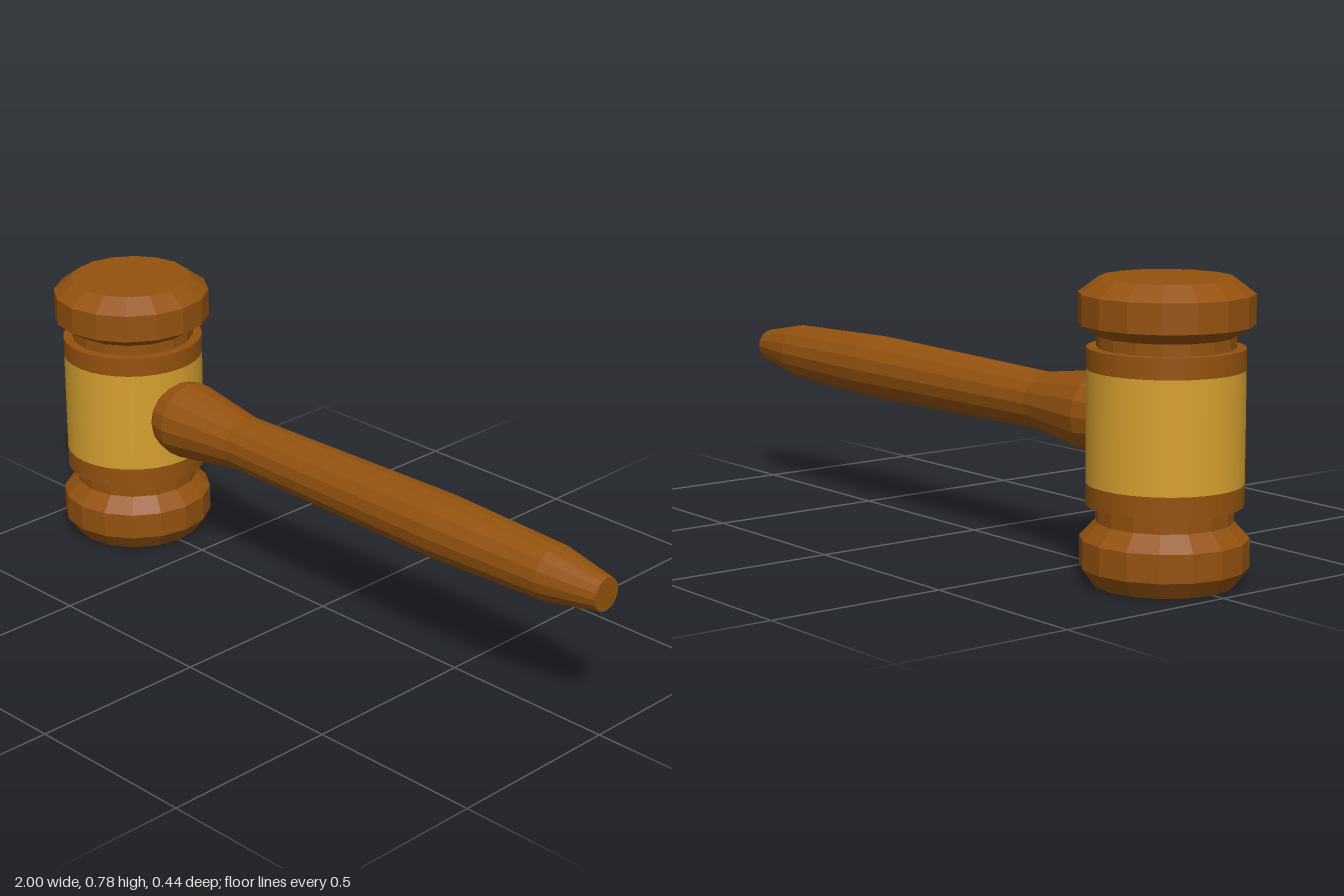
import * as THREE from 'three';

const WOOD = 0x94520e, GOLD = 0xd6a02e;
const HEAD_X = -0.78, HANDLE_Y = 0.402;

// Faceted turned part from [radius, height] pairs, listed bottom to top
function turned(name, profile, sides = 16) {
  const geometry = new THREE.LatheGeometry(profile.map(([r, y]) => new THREE.Vector2(r, y)), sides);
  const mesh = new THREE.Mesh(geometry, new THREE.MeshStandardMaterial({ color: WOOD, flatShading: true }));
  mesh.name = name;
  return mesh;
}

// Smooth round section of the barrel
function barrelSection(name, y0, y1, color) {
  const geometry = new THREE.CylinderGeometry(0.2, 0.2, y1 - y0, 32);
  const mesh = new THREE.Mesh(geometry, new THREE.MeshStandardMaterial({ color }));
  mesh.position.y = (y0 + y1) / 2;
  mesh.name = name;
  return mesh;
}

export function createModel() {
  const model = new THREE.Group();
  model.name = 'gavel';

  // Head: two chamfered ends with necks, and a banded barrel between them
  const head = new THREE.Group();
  head.name = 'head';
  head.position.x = HEAD_X;
  head.add(
    turned('lowerEnd', [[0, 0], [0.182, 0], [0.215, 0.045], [0.215, 0.118], [0.175, 0.16], [0.175, 0.21]]),
    barrelSection('lowerRim', 0.203, 0.258, WOOD),
    barrelSection('metalBand', 0.258, 0.547, GOLD),
    barrelSection('upperRim', 0.547, 0.601, WOOD),
    turned('upperEnd', [[0.175, 0.595], [0.175, 0.631], [0.222, 0.66], [0.222, 0.737], [0.17, 0.776], [0, 0.776]])
  );
  model.add(head);

  // Handle: turned along its length, then laid along +x
  const handle = turned('handle', [
    [0, -0.62], [0.08, -0.62], [0.1, -0.59], [0.111, -0.54], [0.078, -0.31],
    [0.09, 0.45], [0.078, 0.83], [0.046, 1], [0, 1]
  ]);
  handle.rotation.z = -Math.PI / 2;
  handle.position.y = HANDLE_Y;
  model.add(handle);

  return model;
}
